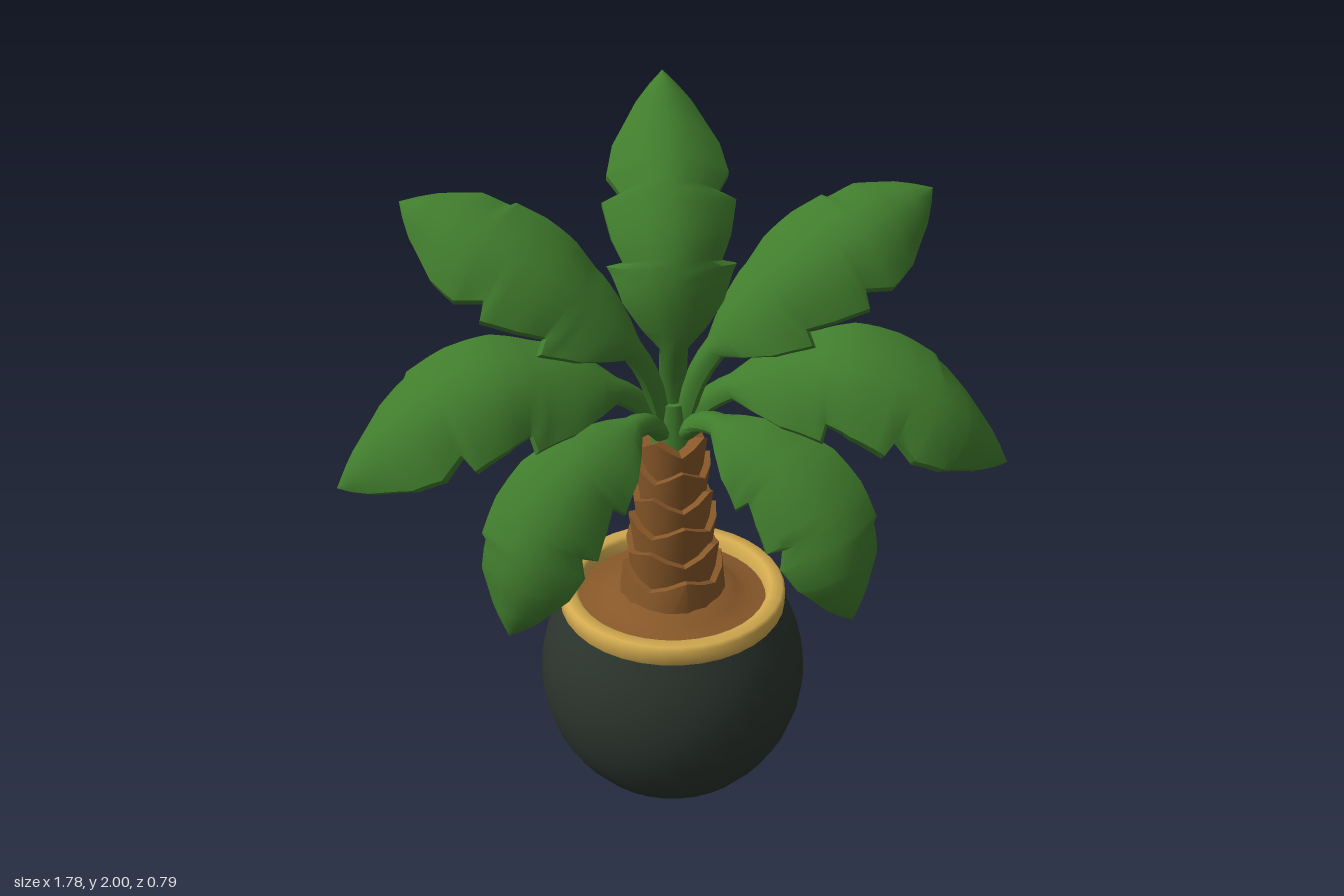
import * as THREE from 'three';
import { toCreasedNormals } from 'three/addons/utils/BufferGeometryUtils.js';

const mat = (name, color) => {
  const m = new THREE.MeshStandardMaterial({ color });
  m.name = name;
  return m;
};

// Half-width profiles along the blade [position, width]: whole edge and torn edge
const WHOLE = [[0, 0.22], [0.1, 0.46], [0.22, 0.76], [0.36, 0.98], [0.5, 1.03], [0.64, 0.98], [0.652, 0.88],
  [0.78, 0.8], [0.9, 0.44], [0.96, 0.2], [1, 0]];
const TORN = [[0, 0.22], [0.07, 0.5], [0.15, 0.78], [0.28, 1], [0.3, 0.76], [0.4, 0.92], [0.54, 1.04],
  [0.56, 0.76], [0.65, 0.95], [0.76, 0.84], [0.9, 0.44], [0.96, 0.2], [1, 0]];

function sample(profile, b) {
  for (let i = 1; i < profile.length; i++) {
    const [b0, w0] = profile[i - 1], [b1, w1] = profile[i];
    if (b <= b1) return w0 + (w1 - w0) * (b - b0) / (b1 - b0);
  }
  return 0;
}

// Stem and arched blade swept along a midrib; "across" points to the upper edge
function leafGeometry({ rib, across, width, start, upper, droop }, mirror) {
  const curve = new THREE.CatmullRomCurve3(rib.map(p => new THREE.Vector3(...p)));
  const blade = [...WHOLE, ...TORN].map(p => p[0]);
  for (let i = 1; i < 16; i++) blade.push(i / 16);
  const stations = [...new Set(blade)].sort((a, b) => a - b).map(b => start + b * (1 - start));
  for (let i = 5; i >= 0; i--) stations.unshift(start * i / 6);

  const steps = [-1, -0.75, -0.4, 0, 0.4, 0.75, 1];
  const pos = [], index = [], n = steps.length * 2;
  stations.forEach((u, i) => {
    const P = curve.getPointAt(u), T = curve.getTangentAt(u);
    const A = new THREE.Vector3(...across);
    A.addScaledVector(T, -A.dot(T)).normalize();
    const N = new THREE.Vector3().crossVectors(T, A);
    const b = Math.max(0, (u - start) / (1 - start));
    const stem = 1 - Math.min(1, b / 0.25);
    const thick = (0.034 + 0.022 * stem) * Math.min(1, (1 - b) * 12);
    const ring = (s, side) => {
      const w = width * sample(s > 0 ? upper : TORN, b);
      const round = 1 - (0.25 + 0.5 * stem) * s * s;
      const arch = 0.8 * s * s + 0.2 * Math.abs(s);
      const h = -droop * w * arch * (1 - stem) + side * thick / 2 * round;
      const v = P.clone().addScaledVector(A, s * w).addScaledVector(N, h);
      pos.push(v.x * mirror, v.y, v.z);
    };
    steps.forEach(s => ring(s, 1));
    [...steps].reverse().forEach(s => ring(s, -1));
    if (i === 0) return;
    for (let j = 0; j < n; j++) {
      const k = (j + 1) % n, r0 = (i - 1) * n, r1 = i * n;
      const quad = [r0 + j, r1 + j, r0 + k, r0 + k, r1 + j, r1 + k];
      index.push(...(mirror < 0 ? quad.reverse() : quad));
    }
  });
  const g = new THREE.BufferGeometry();
  g.setAttribute('position', new THREE.Float32BufferAttribute(pos, 3));
  g.setIndex(index);
  return toCreasedNormals(g, 0.75);
}

export function createModel() {
  const model = new THREE.Group();
  model.name = 'pottedPalm';
  const green = mat('leaf green', 0x417d2d);
  const bark = mat('bark brown', 0x885829);
  const dark = mat('pot charcoal', 0x2b342d);
  const gold = mat('rim gold', 0xd4ab50);

  const add = (name, geometry, material, parent = model) => {
    const m = new THREE.Mesh(geometry, material);
    m.name = name;
    parent.add(m);
    return m;
  };
  const lathe = (pts, crease) => toCreasedNormals(
    new THREE.LatheGeometry(pts.map(p => new THREE.Vector2(...p)), 36), crease);

  // Round pot, rim and mounded soil
  add('pot', lathe([[0, 0], [0.2, 0], [0.245, 0.006], [0.27, 0.025], [0.315, 0.08], [0.355, 0.15], [0.38, 0.225],
    [0.391, 0.305], [0.386, 0.38], [0.37, 0.45], [0.345, 0.51], [0.318, 0.56]], 1.2), dark);
  add('rim', lathe([[0.29, 0.55], [0.32, 0.55], [0.326, 0.56], [0.326, 0.6], [0.318, 0.61],
    [0.284, 0.61], [0.274, 0.6], [0.27, 0.55]], 0.9), gold);
  add('soil', lathe([[0.285, 0.565], [0.22, 0.572], [0.19, 0.585], [0.15, 0.605], [0, 0.61]], 0.6), bark);

  // Trunk of overlapping flared tiers with jagged upper edges
  const trunk = new THREE.Group();
  trunk.name = 'trunk';
  model.add(trunk);
  for (let i = 0; i < 6; i++) {
    const top = 0.143 - 0.0095 * i, h = 0.115, sides = 16;
    const g = new THREE.CylinderGeometry(top, i ? top - 0.014 : 0.158, h, sides, 1);
    const p = g.attributes.position;
    for (let v = 0; v < p.count; v++) {
      const x = p.getX(v), z = p.getZ(v);
      if (p.getY(v) < 0 || Math.hypot(x, z) < 0.01) continue;
      const wave = Math.cos(Math.atan2(x, z) * 4);
      p.setY(v, p.getY(v) + 0.022 * wave);
      p.setX(v, x * (1 + 0.03 * wave));
      p.setZ(v, z * (1 + 0.03 * wave));
    }
    g.rotateY(i * Math.PI / 4 + 0.2);
    g.translate(0, 0.56 + i * 0.083 + h / 2, 0);
    add('trunkTier', toCreasedNormals(g, 0.6), bark, trunk);
  }

  // Crown where the stems gather
  const crown = add('crown', new THREE.CylinderGeometry(0.04, 0.065, 0.14, 12), green);
  crown.position.y = 1.13;

  // One upright leaf and three mirrored pairs
  const centre = {
    rib: [[0, 1.1, -0.01], [0, 1.25, 0], [0, 1.42, 0.05], [0, 1.6, 0.06], [0, 1.78, -0.05], [0, 2, -0.345]],
    across: [-1, 0, 0], width: 0.168, start: 0.26, upper: TORN, droop: 0.55,
  };
  const pairs = {
    upperLeaf: {
      rib: [[0.02, 1.1, 0], [0.07, 1.3, 0.03], [0.17, 1.46, 0.07], [0.32, 1.6, 0.08], [0.5, 1.69, 0.03], [0.69, 1.74, -0.11]],
      across: [-0.25, 0.64, -0.68], width: 0.162, start: 0.28, upper: WHOLE, droop: 0.42,
    },
    middleLeaf: {
      rib: [[0.02, 1.1, 0], [0.1, 1.22, 0.03], [0.25, 1.32, 0.12], [0.46, 1.36, 0.2], [0.69, 1.27, 0.22], [0.89, 1.06, 0.16]],
      across: [0.1, 0.65, -0.73], width: 0.168, start: 0.2, upper: WHOLE, droop: 0.42,
    },
    lowerLeaf: {
      rib: [[0.02, 1.1, 0.01], [0.08, 1.17, 0.07], [0.2, 1.16, 0.21], [0.32, 1.06, 0.32], [0.41, 0.9, 0.375], [0.46, 0.69, 0.335]],
      across: [0.8, 0.5, -0.3], width: 0.15, start: 0.18, upper: WHOLE, droop: 0.4,
    },
  };
  add('centreLeaf', leafGeometry(centre, 1), green);
  for (const [name, spec] of Object.entries(pairs)) {
    for (const side of [1, -1]) add(name + (side > 0 ? 'Left' : 'Right'), leafGeometry(spec, side), green);
  }
  return model;
}
